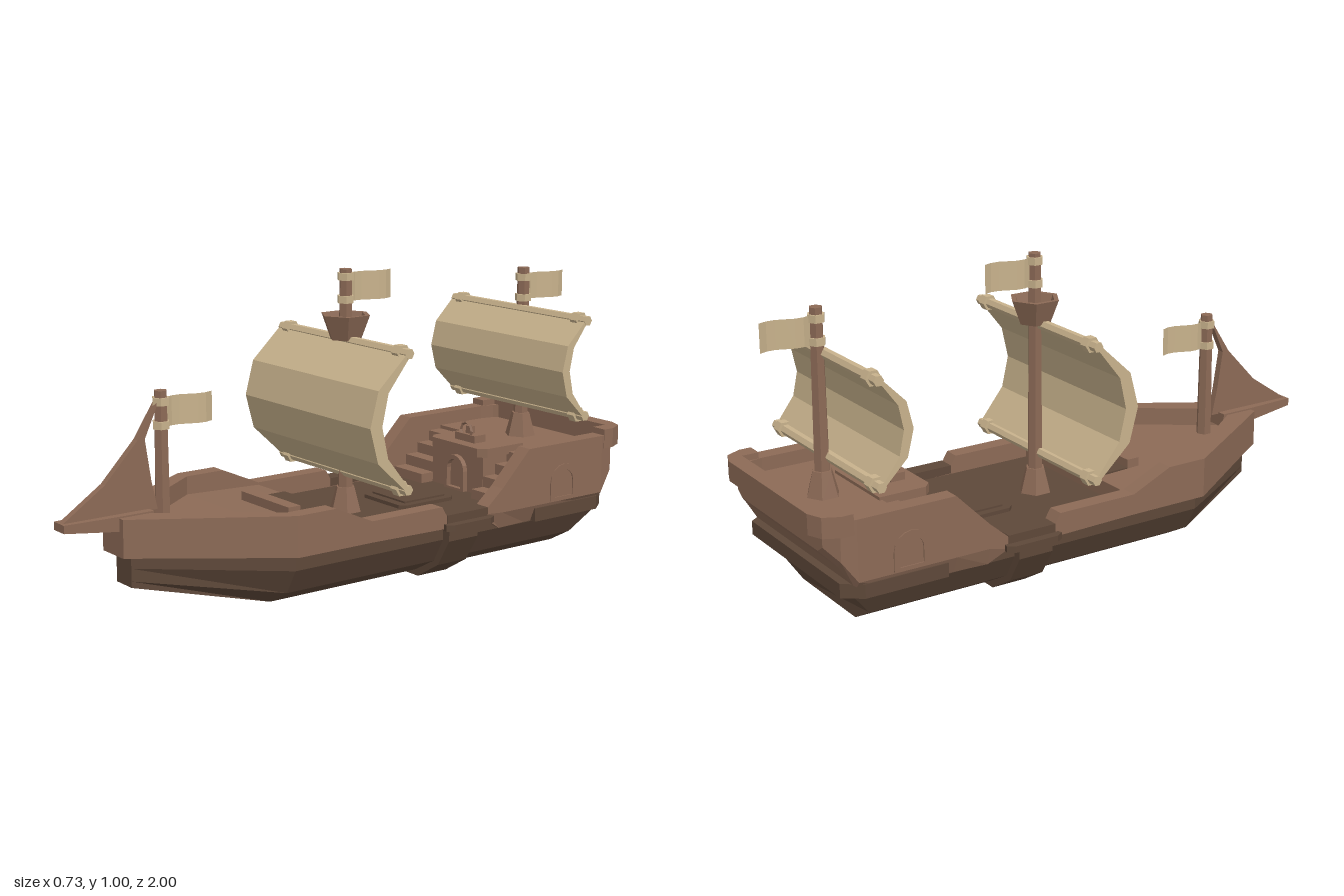
import * as THREE from 'three';

const WOOD = 0x8c6a56, DARK = 0x5e4839, CLOTH = 0xc8b28c;
const mats = {};
const mat = (color) => (mats[color] ??= new THREE.MeshStandardMaterial({ color, flatShading: true, side: THREE.DoubleSide }));

// Closed loft, front to back, from half sections [x, y, z] listed bottom to top
function loft(halves) {
  const rings = halves.map((h) => [...h, ...h.map(([x, y, z]) => [-x, y, z]).reverse()]);
  const n = rings[0].length, last = (rings.length - 1) * n, index = [];
  for (let i = 0; i < rings.length - 1; i++) {
    for (let j = 0; j < n; j++) {
      const a = i * n + j, b = i * n + (j + 1) % n;
      index.push(a, a + n, b, b, a + n, b + n);
    }
  }
  const cap = (r) => THREE.ShapeUtils.triangulateShape(r.map((p) => new THREE.Vector2(p[0], p[1])), []);
  for (const [a, b, c] of cap(rings[0])) index.push(a, b, c);
  for (const [a, b, c] of cap(rings.at(-1))) index.push(last + a, last + c, last + b);
  const geo = new THREE.BufferGeometry();
  geo.setAttribute('position', new THREE.Float32BufferAttribute(rings.flat(2), 3));
  geo.setIndex(index);
  const flat = geo.toNonIndexed();
  flat.computeVertexNormals();
  return flat;
}

const shapeOf = (pts) => new THREE.Shape(pts.map(([a, b]) => new THREE.Vector2(a, b)));
const extrude = (shape, depth) =>
  new THREE.ExtrudeGeometry(shape, { depth, bevelEnabled: false, curveSegments: 4 }).translate(0, 0, -depth / 2);
// Profile drawn in (z, y), extruded across x
const extrudeX = (shape, width) => extrude(shape, width).rotateY(-Math.PI / 2);
// Plan drawn in (x, z), extruded upward from y0 to y1
const extrudeY = (shape, y0, y1) => extrude(shape, y1 - y0).rotateX(Math.PI / 2).translate(0, (y0 + y1) / 2, 0);

// Arched frame standing on y = 0
function archShape(w, h, t) {
  const outline = (target, r, bottom) => {
    target.moveTo(-r, bottom);
    target.lineTo(r, bottom);
    target.lineTo(r, h - w);
    target.absarc(0, h - w, r, 0, Math.PI, false);
    target.lineTo(-r, bottom);
    return target;
  };
  const s = outline(new THREE.Shape(), w, 0);
  s.holes.push(outline(new THREE.Path(), w - t, t / 2));
  return s;
}

export function createModel() {
  const ship = new THREE.Group();
  const add = (name, geo, color, parent = ship) => {
    const m = new THREE.Mesh(geo, mat(color));
    m.name = name;
    parent.add(m);
    return m;
  };
  const box = (name, x0, x1, y0, y1, z0, z1, color, parent) =>
    add(name, new THREE.BoxGeometry(x1 - x0, y1 - y0, z1 - z0)
      .translate((x0 + x1) / 2, (y0 + y1) / 2, (z0 + z1) / 2), color, parent);

  // Lower hull
  const section = (z) => [[0.17, 0.02, z], [0.26, 0.07, z], [0.305, 0.15, z], [0.305, 0.21, z]];
  const stern = section(-0.81).map(([x, y, z], i) => [x, Math.min(y, 0.2), i > 1 ? -0.88 : z]);
  add('lowerHull', loft([
    [[0.043, 0.11, 0.785], [0.043, 0.13, 0.785], [0.043, 0.17, 0.785], [0.043, 0.21, 0.785]],
    section(0.37), section(-0.81).map(([x, y, z]) => [x, Math.min(y, 0.2), z]), stern,
  ]), DARK);

  // Rib wrapped around the middle of the hull
  add('hullRib', loft([-0.21, -0.33].map((z) =>
    [[0.18, 0, z], [0.28, 0.06, z], [0.335, 0.15, z], [0.335, 0.204, z]])), DARK);

  // Upper hull: z, bottom width, bottom y, outer width, inner width, rail y, deck y
  const stations = [
    [0.82, 0.06, 0.21, 0.06, 0.02, 0.33, 0.329],
    [0.73, 0.117, 0.21, 0.117, 0.03, 0.33, 0.329],
    [0.73, 0.117, 0.21, 0.117, 0.03, 0.33, 0.27],
    [0.38, 0.335, 0.2, 0.335, 0.28, 0.33, 0.27],
    [0.24, 0.335, 0.2, 0.335, 0.28, 0.33, 0.265],
    [0.1, 0.335, 0.2, 0.335, 0.28, 0.268, 0.26],
    [0.1, 0.335, 0.2, 0.335, 0.28, 0.268, 0.205],
    [-0.18, 0.335, 0.195, 0.335, 0.28, 0.268, 0.205],
    [-0.2, 0.335, 0.195, 0.335, 0.28, 0.235, 0.205],
    [-0.37, 0.335, 0.195, 0.335, 0.28, 0.235, 0.205],
    [-0.435, 0.32, 0.155, 0.335, 0.28, 0.29, 0.205],
    [-0.55, 0.312, 0.155, 0.335, 0.28, 0.405, 0.205],
    [-0.69, 0.312, 0.155, 0.335, 0.28, 0.405, 0.205],
    [-0.69, 0.312, 0.155, 0.335, 0.28, 0.405, 0.36],
    [-0.88, 0.312, 0.18, 0.335, 0.28, 0.405, 0.36],
    [-0.93, 0.3, 0.26, 0.325, 0.27, 0.405, 0.36],
    [-0.965, 0.25, 0.3, 0.28, 0.24, 0.405, 0.36],
  ];
  add('upperHull', loft(stations.map(([z, wb, yb, wo, wi, yr, yd]) =>
    [[wb, yb, z], [wo, Math.max(0.21, yb + 0.02), z], [wo, yr, z], [wi, yr, z], [wi, yd, z]])), WOOD);

  // Main deck, hatch and gunwale caps
  box('mainDeck', -0.28, 0.28, 0.2, 0.208, -0.69, 0.1, DARK);
  add('hatch', extrudeY(shapeOf([[-0.11, -0.41], [-0.09, -0.43], [0.09, -0.43], [0.11, -0.41],
    [0.11, -0.22], [0.09, -0.2], [-0.09, -0.2], [-0.11, -0.22]]), 0.2, 0.22), DARK);
  box('hatchLid', -0.085, 0.085, 0.22, 0.226, -0.4, -0.23, DARK);
  for (const s of [-1, 1]) {
    const cap = [[0.28, -0.37], [0.35, -0.385], [0.365, -0.36], [0.365, -0.21], [0.35, -0.185], [0.28, -0.2]];
    add('gunwaleCap', extrudeY(shapeOf(cap.map(([x, z]) => [s * x, z])), 0.19, 0.211), DARK);
    box('gunwaleTop', s * 0.308 - 0.029, s * 0.308 + 0.029, 0.21, 0.238, -0.37, -0.2, DARK);
  }

  // Stepped recess and bench on the foredeck
  box('foredeckRecess', -0.13, 0.13, 0.255, 0.268, 0.1, 0.225, DARK);
  box('foredeckBench', -0.13, 0.13, 0.25, 0.295, 0.225, 0.27, WOOD);

  // Stern trim and raised stern rail
  add('sternTrim', extrudeY(shapeOf([[-0.335, -0.58], [0.335, -0.58], [0.335, -0.86], [0.29, -0.92],
    [-0.29, -0.92], [-0.335, -0.86]]), 0.155, 0.2), DARK);
  add('sternRail', extrudeY(shapeOf([[0.335, -0.89], [0.335, -0.93], [0.31, -0.98], [0.26, -1], [-0.26, -1],
    [-0.31, -0.98], [-0.335, -0.93], [-0.335, -0.89], [-0.28, -0.89], [-0.28, -0.945], [0.28, -0.945],
    [0.28, -0.89]]), 0.36, 0.425), WOOD);

  // Cabin with balcony, door, helm and side stairs
  box('cabin', -0.13, 0.13, 0.205, 0.35, -0.7, -0.53, WOOD);
  add('balcony', extrudeY(shapeOf([[-0.14, -0.7], [0.14, -0.7], [0.14, -0.54], [0.115, -0.515],
    [-0.115, -0.515], [-0.14, -0.54]]), 0.34, 0.37), WOOD);
  add('cabinDoorFrame', extrude(archShape(0.05, 0.12, 0.015), 0.025).translate(0, 0.208, -0.525), WOOD);
  box('helmStand', -0.05, 0.05, 0.37, 0.395, -0.61, -0.56, WOOD);
  box('helmPost', -0.012, 0.012, 0.39, 0.42, -0.595, -0.575, WOOD);
  add('helmWheel', new THREE.TorusGeometry(0.028, 0.006, 4, 8).translate(0, 0.407, -0.568), WOOD);
  for (const s of [-1, 1]) {
    for (let i = 0; i < 4; i++) {
      box('stair', s * 0.205 - 0.075, s * 0.205 + 0.075, 0.205, 0.24 + i * 0.036, -0.7, -0.48 - i * 0.052, WOOD);
    }
    add('sideWindowFrame', extrudeX(archShape(0.06, 0.12, 0.02), 0.03).translate(s * 0.324, 0.215, -0.705), WOOD);
  }

  // Bowsprit
  add('bowsprit', loft([
    [[0.03, 0.31, 1], [0.03, 0.335, 1]],
    [[0.04, 0.288, 0.81], [0.04, 0.335, 0.81]],
    [[0.04, 0.288, 0.7], [0.04, 0.335, 0.7]],
  ]), WOOD);

  // Masts, each with a flared foot, rings and a wavy flag
  const mast = (name, z, y0, y1, foot, flagLow, flagHigh) => {
    const g = new THREE.Group();
    g.name = name;
    ship.add(g);
    const tube = (part, r1, r0, a, b, color) =>
      add(part, new THREE.CylinderGeometry(r1, r0, b - a, 6).translate(0, (a + b) / 2, z), color, g);
    tube('pole', 0.021, 0.026, y0, y1, WOOD);
    if (foot) tube('foot', 0.032, 0.055, y0, y0 + 0.085, WOOD);
    for (const y of [flagLow + 0.01, flagHigh - 0.01]) tube('ring', 0.028, 0.028, y - 0.012, y + 0.012, CLOTH);
    const flag = new THREE.PlaneGeometry(0.165, flagHigh - flagLow, 6, 1).rotateY(Math.PI / 2);
    const p = flag.attributes.position;
    for (let i = 0; i < p.count; i++) p.setX(i, 0.012 * Math.sin((p.getZ(i) - 0.0825) * 38));
    add('flag', flag.translate(0, (flagLow + flagHigh) / 2, z - 0.1), CLOTH, g);
  };
  mast('foreMast', 0.645, 0.26, 0.69, false, 0.575, 0.667);
  mast('mainMast', -0.05, 0.205, 1, true, 0.893, 0.986);
  mast('aftMast', -0.815, 0.355, 0.945, true, 0.832, 0.922);

  // Crow's nest: hollow six-sided bucket
  const bucket = [[0, 0.775], [0.053, 0.775], [0.084, 0.855], [0.068, 0.855], [0.046, 0.795], [0, 0.795]];
  add('crowsNest', new THREE.LatheGeometry(bucket.map(([r, y]) => new THREE.Vector2(r, y)), 6)
    .translate(0, 0, -0.05), WOOD);

  // Square sails with yards and clamps
  const sail = (name, z, yc, h, d) => {
    const g = new THREE.Group();
    g.name = name;
    ship.add(g);
    const profile = [[0, 1], [0.78, 0.53], [1, 0], [0.78, -0.53], [0, -1],
      [-0.08, -0.95], [0.5, -0.48], [0.67, 0], [0.5, 0.48], [-0.08, 0.95]];
    add('cloth', extrudeX(shapeOf(profile.map(([a, b]) => [z + a * d, yc + b * h])), 0.67), CLOTH, g);
    for (const y of [yc - h, yc + h]) {
      add('yard', new THREE.CylinderGeometry(0.017, 0.017, 0.672, 6).rotateZ(Math.PI / 2)
        .translate(0, y, z - 0.012), CLOTH, g);
      for (const x of [-0.29, 0.29]) {
        add('clamp', new THREE.CylinderGeometry(0.026, 0.026, 0.03, 6).rotateZ(Math.PI / 2)
          .translate(x, y, z - 0.012), CLOTH, g);
      }
    }
  };
  sail('mainSail', -0.03, 0.558, 0.215, 0.14);
  sail('aftSail', -0.785, 0.643, 0.16, 0.097);

  // Triangular jib between fore mast and bowsprit
  add('jib', extrudeX(shapeOf([[0.65, 0.68], [0.71, 0.55], [0.69, 0.42], [0.67, 0.33], [1, 0.33],
    [0.85, 0.43], [0.735, 0.55]]), 0.024), WOOD);

  return ship;
}
